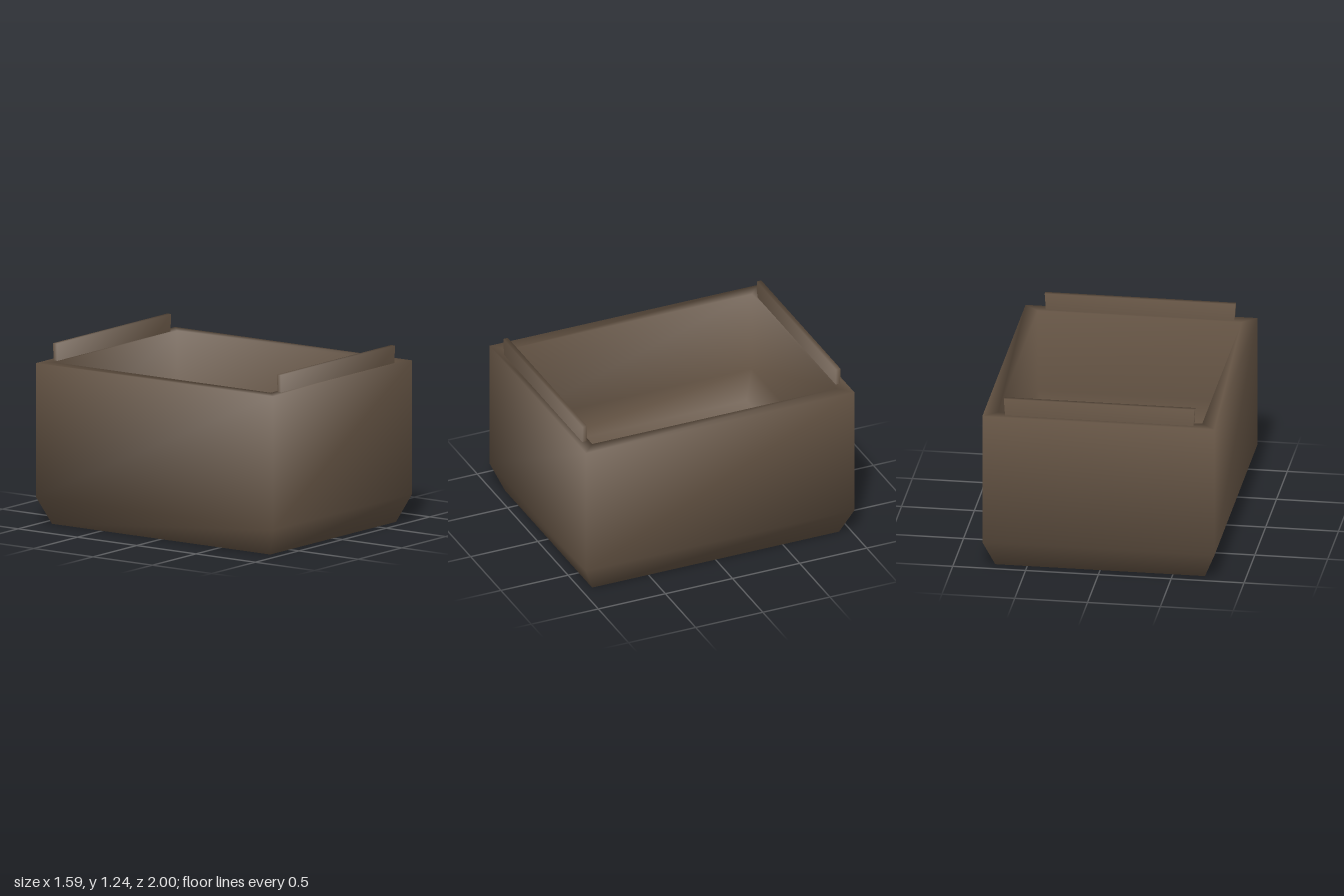
import * as THREE from 'three';

const brown = new THREE.MeshStandardMaterial({ color: 0x665545 });
brown.name = 'dark brown';

// Corner normal of one loop: the sum of the unit normals of the faces meeting there
function cornerNormal(loops, i) {
  const last = loops.length - 1;
  const n = new THREE.Vector3(0, i === 0 ? -1 : i === last ? 1 : 0, 0);
  for (let s = Math.max(i - 1, 0); s <= Math.min(i, last - 1); s++) {
    const [x0, y0, z0] = loops[s];
    const [x1, y1, z1] = loops[s + 1];
    const dx = x1 - x0, dy = y1 - y0, dz = z1 - z0;
    const lx = Math.hypot(dx, dy), lz = Math.hypot(dz, dy);
    const weight = dy === 0 ? 0.5 : 1; // level rims are split at mitred corners
    n.x += weight * dy / lx;
    n.z += weight * dy / lz;
    n.y -= weight * (dx / lx + dz / lz);
  }
  return n.normalize();
}

// Smooth skin through rectangular loops [halfX, y, halfZ], capped at both ends
function loftRectangles(loops) {
  const positions = [];
  const normals = [];
  const index = [];
  loops.forEach(([x, y, z], i) => {
    const n = cornerNormal(loops, i);
    for (const [sx, sz] of [[-1, 1], [1, 1], [1, -1], [-1, -1]]) {
      positions.push(sx * x, y, sz * z);
      normals.push(sx * n.x, n.y, sz * n.z);
    }
  });
  for (let i = 0; i < loops.length - 1; i++) {
    for (let j = 0; j < 4; j++) {
      const k = (j + 1) % 4;
      const a = i * 4 + j, b = i * 4 + k, c = a + 4, d = b + 4;
      index.push(a, b, d, a, d, c);
    }
  }
  const e = (loops.length - 1) * 4;
  index.push(0, 2, 1, 0, 3, 2, e, e + 1, e + 2, e, e + 2, e + 3);
  const geometry = new THREE.BufferGeometry();
  geometry.setAttribute('position', new THREE.Float32BufferAttribute(positions, 3));
  geometry.setAttribute('normal', new THREE.Float32BufferAttribute(normals, 3));
  geometry.setIndex(index);
  return geometry;
}

export function createModel() {
  const group = new THREE.Group();
  group.name = 'openBin';

  // Body: chamfered base, outer walls, rim, then the cavity and its chamfer down to the floor
  const body = new THREE.Mesh(loftRectangles([
    [0.72, 0, 0.92],
    [0.797, 0.19, 1],
    [0.797, 1.115, 1],
    [0.7, 1.115, 0.91],
    [0.7, 0.53, 0.91],
    [0.635, 0.33, 0.84],
  ]), brown);
  body.name = 'body';
  group.add(body);

  // Tapered plates set deep into the front and back walls, showing as lips above the rim
  for (const [name, side] of [['frontLip', 1], ['backLip', -1]]) {
    const lip = new THREE.Mesh(loftRectangles([
      [0.595, 0.37, 0.0165],
      [0.655, 1.235, 0.0165],
    ]), brown);
    lip.name = name;
    lip.position.z = side * 0.944;
    group.add(lip);
  }

  return group;
}
